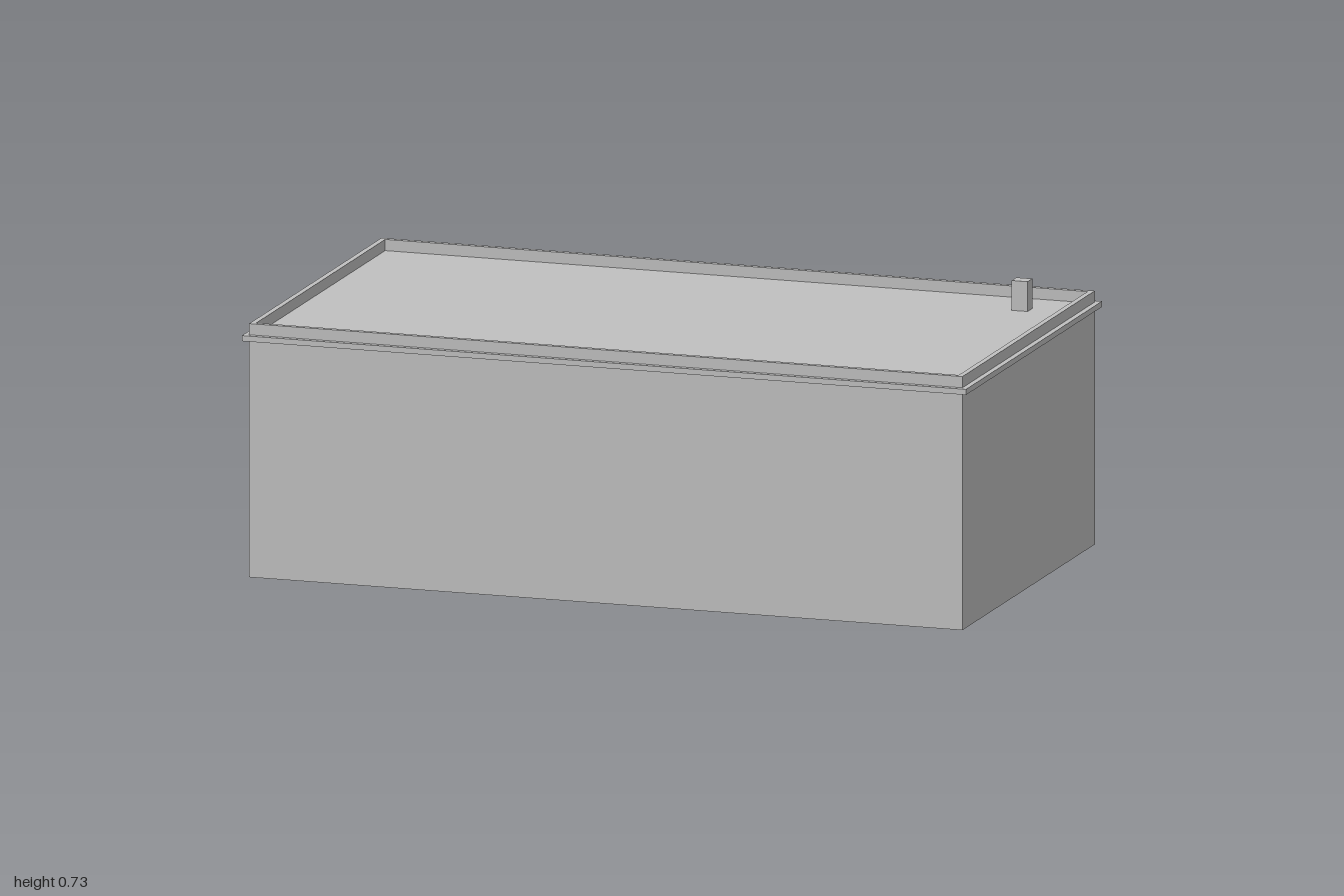
import * as THREE from 'three';

const concrete = new THREE.MeshStandardMaterial({ color: 0xc0c0c0 });
concrete.name = 'concreteGrey';
concrete.side = THREE.DoubleSide;

// Rectangle path with the given half sizes
function rect(PathType, hx, hz) {
  const p = new PathType();
  p.moveTo(-hx, -hz);
  p.lineTo(hx, -hz);
  p.lineTo(hx, hz);
  p.lineTo(-hx, hz);
  p.closePath();
  return p;
}

// Rectangular frame between two heights
function ring(outer, inner, y0, y1) {
  const shape = rect(THREE.Shape, ...outer);
  shape.holes.push(rect(THREE.Path, ...inner));
  const g = new THREE.ExtrudeGeometry(shape, { depth: y1 - y0, bevelEnabled: false });
  return g.rotateX(-Math.PI / 2).translate(0, y0, 0);
}

export function createModel() {
  const model = new THREE.Group();
  model.name = 'flatRoofBuilding';
  const add = (name, geometry) => {
    const mesh = new THREE.Mesh(geometry, concrete);
    mesh.name = name;
    model.add(mesh);
    return mesh;
  };

  const cornice = [1.0, 0.555], wall = [0.985, 0.54], inner = [0.97, 0.525];
  const corniceY = 0.635, roofY = 0.65, parapetY = 0.68;

  // Thin outer walls, open underneath
  for (const s of [-1, 1]) {
    const long = new THREE.PlaneGeometry(wall[0] * 2, corniceY);
    if (s < 0) long.rotateY(Math.PI);
    add(s > 0 ? 'frontWall' : 'backWall', long.translate(0, corniceY / 2, s * wall[1]));
    const short = new THREE.PlaneGeometry(wall[1] * 2, corniceY).rotateY(s * Math.PI / 2);
    add(s > 0 ? 'leftWall' : 'rightWall', short.translate(s * wall[0], corniceY / 2, 0));
  }

  // Projecting cornice and the parapet above it
  add('cornice', ring(cornice, inner, corniceY, roofY));
  add('parapet', ring(wall, inner, roofY, parapetY));

  // Sunken flat roof
  add('roof', new THREE.PlaneGeometry(inner[0] * 2, inner[1] * 2)
    .rotateX(-Math.PI / 2).translate(0, roofY, 0));

  // Small chimney near the back left corner
  add('chimney', new THREE.BoxGeometry(0.044, 0.08, 0.038).translate(0.833, roofY + 0.04, -0.395));

  return model;
}
